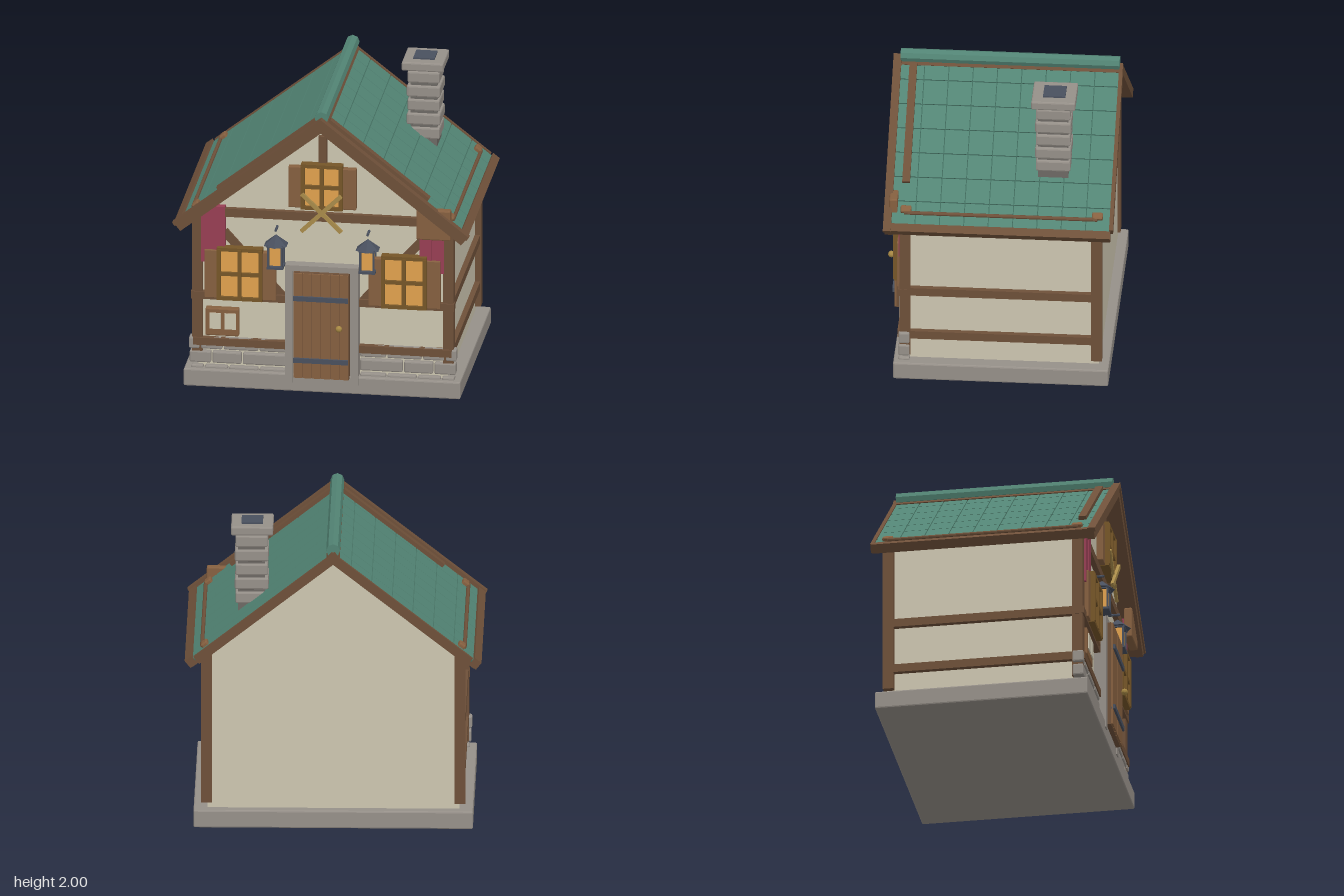
import * as THREE from 'three';
import { RoundedBoxGeometry } from 'three/addons/geometries/RoundedBoxGeometry.js';

const mat = (color) => new THREE.MeshStandardMaterial({ color, flatShading: true });
const M = {
  plaster: mat(0xcdc6b0), timber: mat(0x6e5039), wood: mat(0x866040), stone: mat(0x969089),
  darkStone: mat(0x6d6964), tile: mat(0x528474), tileDark: mat(0x3f6a5c), glass: mat(0xe2a24e),
  frame: mat(0x765628), iron: mat(0x49505e), cloth: mat(0x983f54), gold: mat(0xa68743), stick: mat(0xa98b4a),
};
// Roof pitch and ridge height
const A = Math.atan2(0.765, 0.97), RIDGE = 1.92;

export function createModel() {
  const root = new THREE.Group();
  root.name = 'cottage';
  const group = (name, parent = root) => {
    const g = new THREE.Group();
    g.name = name;
    parent.add(g);
    return g;
  };
  const add = (name, geo, m, x, y, z, parent = root) => {
    const mesh = new THREE.Mesh(geo, m);
    mesh.name = name;
    mesh.position.set(x, y, z);
    parent.add(mesh);
    return mesh;
  };
  // Box given by its limits, with optional small bevel
  const box = (name, m, x0, x1, y0, y1, z0, z1, parent = root, bevel = 0) => {
    const s = [x1 - x0, y1 - y0, z1 - z0];
    const geo = bevel ? new RoundedBoxGeometry(...s, 1, bevel) : new THREE.BoxGeometry(...s);
    return add(name, geo, m, (x0 + x1) / 2, (y0 + y1) / 2, (z0 + z1) / 2, parent);
  };
  // Box lying on a roof slope: s runs down from the ridge, h is height above the slope line
  const slopeBox = (name, m, side, s0, s1, h0, h1, z0, z1, parent) => {
    const s = (s0 + s1) / 2, h = (h0 + h1) / 2;
    const b = add(name, new THREE.BoxGeometry(s1 - s0, h1 - h0, z1 - z0), m,
      side * (s * Math.cos(A) + h * Math.sin(A)), RIDGE - s * Math.sin(A) + h * Math.cos(A), (z0 + z1) / 2, parent);
    b.rotation.z = -side * A;
    return b;
  };
  // Bar between two points in the front plane
  const bar = (name, m, x0, y0, x1, y1, w, z0, z1, parent = root) => {
    const b = add(name, new THREE.BoxGeometry(Math.hypot(x1 - x0, y1 - y0), w, z1 - z0), m,
      (x0 + x1) / 2, (y0 + y1) / 2, (z0 + z1) / 2, parent);
    b.rotation.z = Math.atan2(y1 - y0, x1 - x0);
    return b;
  };

  // Base and gabled house body
  box('base', M.stone, -0.91, 0.91, 0, 0.12, -0.735, 0.67, root, 0.01);
  const outline = new THREE.Shape([[-0.82, 0.12], [0.82, 0.12], [0.82, 1.185], [0, 1.83], [-0.82, 1.185]]
    .map(([x, y]) => new THREE.Vector2(x, y)));
  add('walls', new THREE.ExtrudeGeometry(outline, { depth: 1.27, bevelEnabled: false }), M.plaster, 0, 0, -0.67);

  // Timber frame
  const timbers = group('timberFrame');
  for (const s of [-1, 1]) {
    for (const z of [0.595, -0.655])
      box('cornerPost', M.timber, s * 0.825 - 0.035, s * 0.825 + 0.035, 0.16, 1.17, z - 0.035, z + 0.035, timbers);
    for (const y of [0.305, 0.63])
      box('sideBeam', M.timber, s * 0.83 - 0.025, s * 0.83 + 0.025, y - 0.028, y + 0.028, -0.65, 0.59, timbers);
    bar('brace', M.timber, s * 0.65, 1.07, s * 0.26, 0.63, 0.055, 0.59, 0.62, timbers);
    box('lowerBeam', M.timber, s > 0 ? 0.24 : -0.85, s > 0 ? 0.85 : -0.24, 0.28, 0.33, 0.58, 0.645, timbers);
    box('middleBeam', M.timber, s > 0 ? 0.22 : -0.865, s > 0 ? 0.865 : -0.22, 0.6, 0.65, 0.58, 0.64, timbers);
  }
  box('upperBeam', M.timber, -0.74, 0.74, 1.178, 1.235, 0.58, 0.635, timbers);
  box('kingPost', M.timber, -0.026, 0.026, 1.56, 1.77, 0.58, 0.635, timbers);

  // Stone courses along the front
  const stones = group('stoneFooting');
  const courses = [
    [0.08, 0.137, [0.24, 0.42, 0.62, 0.78, 0.87]],
    [0.155, 0.235, [0.24, 0.53, 0.73, 0.88]],
    [0.25, 0.33, [0.24, 0.42, 0.655, 0.805, 0.885]],
  ];
  for (const s of [-1, 1])
    for (const [y0, y1, xs] of courses)
      for (let i = 0; i + 1 < xs.length; i++) {
        const a = s * (xs[i] + 0.005), b = s * (xs[i + 1] - 0.005);
        box('stone', M.stone, Math.min(a, b), Math.max(a, b), y0, y1, 0.565, 0.637, stones, 0.01);
      }

  // Roof
  const roof = group('roof');
  const rows = 7, cols = 9, L = 1.19, zB = -0.745, zF = 0.685;
  for (const s of [-1, 1]) {
    slopeBox('roofBoards', M.timber, s, 0, 1.22, -0.07, -0.045, zB, zF, roof);
    slopeBox('tileBed', M.tileDark, s, 0, L, -0.045, -0.032, zB, zF, roof);
    for (let r = 0; r < rows; r++)
      for (let c = 0; c < cols; c++) {
        const ds = L / rows, dz = (zF - zB) / cols;
        slopeBox('tile', M.tile, s, r * ds, (r + 1) * ds - 0.006, -0.034, -0.022,
          zB + c * dz + 0.003, zB + (c + 1) * dz - 0.003, roof);
      }
    slopeBox('eaveBoard', M.timber, s, 1.18, 1.235, -0.065, -0.005, -0.75, 0.72, roof);
    slopeBox('frontBargeboard', M.timber, s, 0, 1.235, -0.075, -0.022, 0.675, 0.722, roof);
    slopeBox('bargeboardTrim', M.timber, s, 0, 1.24, -0.026, 0.003, 0.68, 0.732, roof);
    slopeBox('rearBargeboard', M.timber, s, 0, 1.17, -0.075, -0.015, -0.765, -0.74, roof);
    slopeBox('roofPlank', M.timber, s, 0.06, 0.89, -0.025, 0.004, 0.575, 0.625, roof);
    // Low rail near the eave
    const rail = group('roofRail', roof);
    const pole = add('railPole', new THREE.CylinderGeometry(0.013, 0.013, 1.26, 8), M.timber, s * 0.855, 1.228, -0.03, rail);
    pole.rotation.x = Math.PI / 2;
    for (const z of [0.59, -0.66]) {
      const b = add('railBlock', new RoundedBoxGeometry(0.05, 0.05, 0.07, 1, 0.01), M.wood, s * 0.832, 1.237, z, rail);
      b.rotation.z = -s * A;
    }
  }
  const ridge = add('ridgeCap', new THREE.CylinderGeometry(0.045, 0.045, 1.43, 8), M.tile, 0, 1.915, -0.03, roof);
  ridge.rotation.x = Math.PI / 2;

  // Chimney
  const chimney = group('chimney');
  box('core', M.darkStone, 0.45, 0.625, 1.4, 1.95, -0.455, -0.255, chimney);
  for (let i = 0; i < 5; i++) {
    const d = i % 2 ? 0.004 : 0, y = 1.452 + i * 0.0965;
    box('course', M.stone, 0.43 - d, 0.642 + d, y, y + 0.08, -0.468 - d, -0.242 + d, chimney, 0.012);
  }
  box('cap', M.stone, 0.396, 0.67, 1.93, 1.99, -0.502, -0.214, chimney, 0.01);
  box('flue', M.iron, 0.463, 0.603, 1.98, 2, -0.433, -0.287, chimney);

  // Windows with shutters
  const makeWindow = (name, cx, y0, y1, w, sw) => {
    const g = group(name), h = w / 2, cy = (y0 + y1) / 2, t = 0.012;
    box('glass', M.glass, cx - h, cx + h, y0, y1, 0.6, 0.66, g);
    for (const x of [cx - h, cx, cx + h])
      box('upright', M.frame, x - t, x + t, y0, y1, 0.62, 0.685, g);
    for (const y of [y0, cy, y1])
      box('crossbar', M.frame, cx - h - t, cx + h + t, y - t, y + t, 0.62, 0.68, g);
    for (const s of [-1, 1]) {
      const x = cx + s * (h + sw / 2 + 0.008);
      box('shutter', M.wood, x - sw / 2, x + sw / 2, y0 - 0.01, y1 - 0.015, 0.61, 0.655, g, 0.006);
    }
  };
  makeWindow('leftWindow', 0.54, 0.625, 0.965, 0.275, 0.09);
  makeWindow('rightWindow', -0.54, 0.625, 0.965, 0.275, 0.09);
  makeWindow('gableWindow', 0, 1.285, 1.575, 0.25, 0.09);
  for (const s of [-1, 1])
    bar('crossedStick', M.stick, -s * 0.13, 1.13, s * 0.13, 1.385, 0.026, s > 0 ? 0.69 : 0.675, s > 0 ? 0.71 : 0.695);

  // Door
  const door = group('door');
  box('surroundBack', M.stone, -0.2, 0.2, 0.065, 0.85, 0.59, 0.655, door);
  for (const s of [-1, 1])
    box('jamb', M.stone, s * 0.215 - 0.025, s * 0.215 + 0.025, 0.065, 0.88, 0.59, 0.678, door);
  box('lintel', M.stone, -0.24, 0.24, 0.842, 0.88, 0.59, 0.678, door);
  box('doorBack', M.timber, -0.182, 0.182, 0.11, 0.84, 0.64, 0.7, door);
  for (let i = 0; i < 6; i++) {
    const x = -0.182 + i * 0.0607;
    box('plank', M.wood, x + 0.002, x + 0.0587, 0.112, 0.838, 0.69, 0.714, door);
  }
  for (const y of [0.237, 0.667])
    box('strap', M.iron, -0.18, 0.18, y - 0.016, y + 0.016, 0.7, 0.728, door);
  add('knob', new THREE.SphereGeometry(0.022, 10, 8), M.gold, 0.122, 0.475, 0.738, door);

  // Lanterns, each under a wall hook
  for (const s of [-1, 1]) {
    const g = group('lantern');
    g.position.set(s * 0.302, 0, 0.662);
    add('lanternRoof', new THREE.ConeGeometry(0.086, 0.07, 6), M.iron, 0, 1.05, 0, g);
    add('lanternGlass', new THREE.BoxGeometry(0.08, 0.14, 0.08), M.glass, 0, 0.95, 0, g);
    for (const y of [0.866, 1.015])
      add('lanternPlate', new THREE.BoxGeometry(0.108, 0.016, 0.108), M.iron, 0, y, 0, g);
    for (const x of [-1, 1])
      for (const z of [-1, 1])
        add('lanternPost', new THREE.BoxGeometry(0.013, 0.15, 0.013), M.iron, x * 0.044, 0.94, z * 0.044, g);
    const hook = add('hook', new THREE.CylinderGeometry(0.009, 0.009, 0.08, 8), M.iron, 0, 1.117, -0.025, g);
    hook.rotation.x = Math.PI / 2;
  }

  // Cloth banners, hanging board and notice board
  for (const s of [-1, 1])
    for (const x of [0.68, 0.76])
      box('banner', M.cloth, s * x - 0.039, s * x + 0.039, 0.86, 1.25, 0.6, x > 0.7 ? 0.642 : 0.648);
  box('cornerBoard', M.wood, 0.625, 0.85, 1.11, 1.32, 0.645, 0.7, root, 0.01);
  const notice = group('noticeBoard');
  box('board', M.wood, -0.77, -0.55, 0.35, 0.54, 0.59, 0.645, notice, 0.008);
  for (const x of [-0.705, -0.605])
    box('paper', M.plaster, x - 0.037, x + 0.037, 0.4, 0.51, 0.64, 0.652, notice);

  return root;
}
